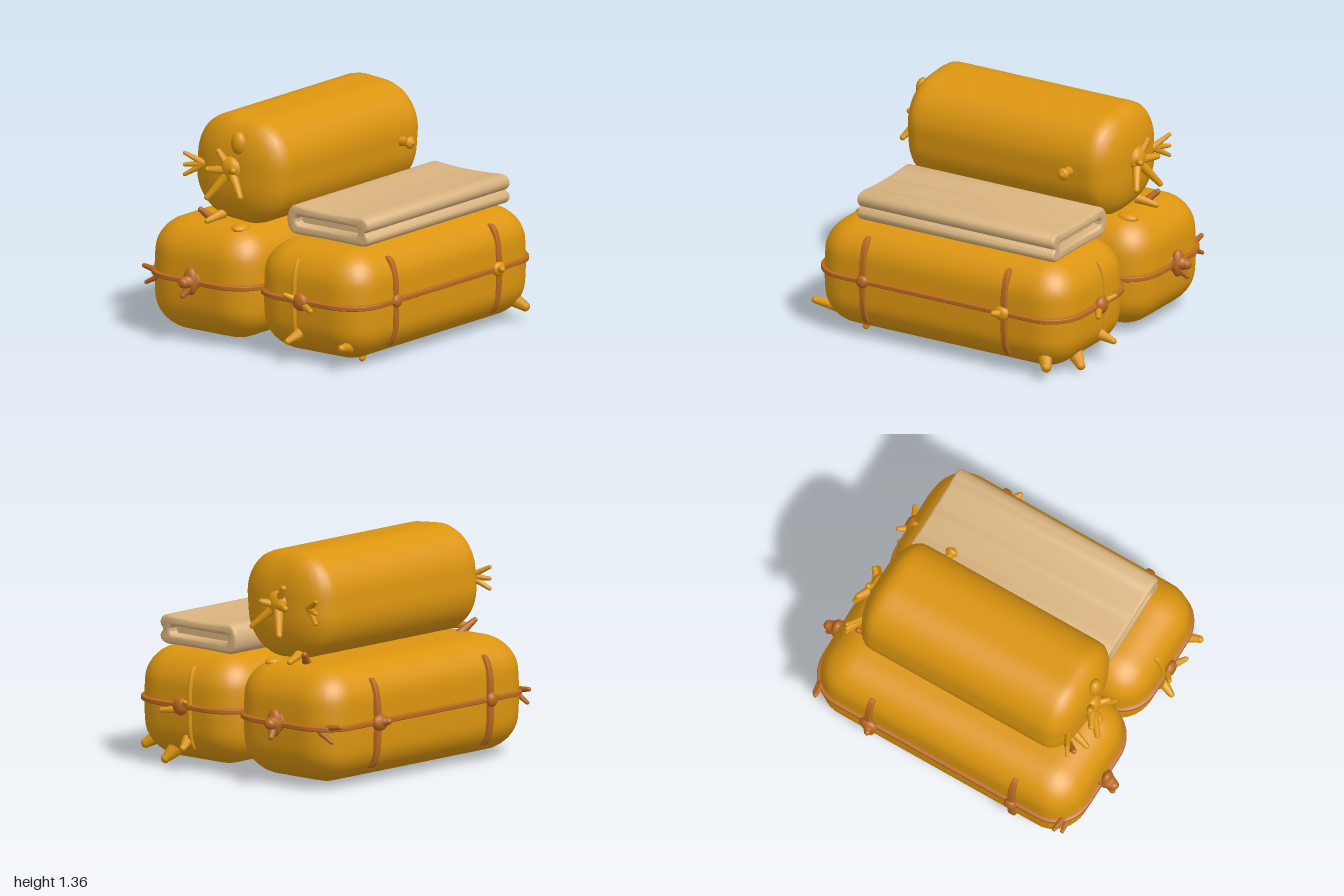
import * as THREE from 'three';
import { mergeVertices, toCreasedNormals } from 'three/addons/utils/BufferGeometryUtils.js';

export function createModel() {
  const model = new THREE.Group();
  const mat = (name, color) => {
    const m = new THREE.MeshStandardMaterial({ color });
    m.name = name;
    return m;
  };
  const gold = mat('gold cloth', 0xdc950f);
  const brown = mat('brown leather', 0xb9691f);
  const sand = mat('sand blanket', 0xd9b37f);

  const add = (name, geo, material, pos = [0, 0, 0]) => {
    const mesh = new THREE.Mesh(geo, material);
    mesh.name = name;
    mesh.position.set(...pos);
    model.add(mesh);
    return mesh;
  };

  // Soft box: half sizes, elliptical edge radii, and a slight sideways bulge
  function pillow(half, rad, bulge = 0) {
    const geo = new THREE.BoxGeometry(half[0] * 2, half[1] * 2, half[2] * 2, 40, 24, 24);
    const p = geo.attributes.position;
    for (let i = 0; i < p.count; i++) {
      const v = [p.getX(i), p.getY(i), p.getZ(i)];
      const core = v.map((c, k) => THREE.MathUtils.clamp(c, rad[k] - half[k], half[k] - rad[k]));
      const d = v.map((c, k) => (c - core[k]) / rad[k]);
      const len = Math.hypot(...d) || 1;
      const q = core.map((c, k) => c + (d[k] / len) * rad[k]);
      const s = 1 - bulge * (q[1] / half[1]) ** 2;
      p.setXYZ(i, q[0] * s, q[1], q[2] * s);
    }
    geo.deleteAttribute('normal');
    geo.deleteAttribute('uv');
    const smooth = mergeVertices(geo, 1e-4);
    smooth.computeVertexNormals();
    return smooth;
  }

  // Tapered strap end running between two points, with a soft root and tip
  function strapEnd(a, b, r, material, name = 'looseStrapEnd') {
    const from = new THREE.Vector3(...a), to = new THREE.Vector3(...b);
    const dir = to.clone().sub(from);
    const mesh = add(name, new THREE.CylinderGeometry(r * 0.55, r, dir.length(), 9), material);
    mesh.position.copy(from).addScaledVector(dir, 0.5);
    mesh.quaternion.setFromUnitVectors(new THREE.Vector3(0, 1, 0), dir.normalize());
    add(name + 'Tip', new THREE.SphereGeometry(r * 0.57, 9, 6), material, b);
  }

  function knot(pos, size, material) {
    const mesh = add('knot', new THREE.SphereGeometry(1, 14, 10), material, pos);
    mesh.scale.set(...size);
  }

  // Two large bags, each with a belt and two upright straps on its outer face
  const bags = [
    { name: 'frontBag', side: 1, z: 0.405, half: [0.87, 0.335, 0.405], y: 0.365 },
    { name: 'backBag', side: -1, z: -0.405, half: [0.895, 0.345, 0.395], y: 0.375 },
  ];
  for (const { name, side, z, half, y } of bags) {
    add(name, pillow(half, [0.2, 0.2, 0.22], 0.04), gold, [0, y, z]);
    add(name + 'Belt', pillow([half[0] + 0.022, 0.03, half[2] + 0.018], [0.22, 0.02, 0.24]), brown, [0, 0.38, z]);
    for (const x of [-0.51, 0.47]) {
      add(name + 'UprightStrap', pillow([0.028, 0.27, 0.1], [0.015, 0.2, 0.07]), brown,
        [x, 0.37, side * 0.725]);
    }
  }

  // Upright straps on the ends of the front bag
  for (const s of [-1, 1]) {
    add('endStrap', pillow([0.08, 0.25, 0.022], [0.06, 0.18, 0.015]), gold, [s * 0.805, 0.37, 0.33]);
  }

  // Bedroll on top of the back bag
  const roll = add('bedroll', pillow([0.735, 0.32, 0.335], [0.14, 0.27, 0.27]), gold, [0, 1.04, -0.25]);
  roll.rotation.x = 0.08;
  strapEnd([0.47, 1.04, 0.03], [0.47, 1.04, 0.16], 0.038, gold, 'rollToggle');
  knot([0.47, 1.04, 0.15], [0.038, 0.038, 0.025], gold);

  // Folded blanket: a flattened loop with a pinched front edge
  const fold = new THREE.Shape();
  fold.moveTo(0.24, 0.092);
  fold.bezierCurveTo(0.33, 0.085, 0.33, -0.085, 0.24, -0.088);
  fold.quadraticCurveTo(0, -0.08, -0.24, -0.088);
  fold.bezierCurveTo(-0.325, -0.09, -0.325, -0.012, -0.272, -0.003);
  fold.bezierCurveTo(-0.325, 0.01, -0.325, 0.09, -0.24, 0.09);
  fold.quadraticCurveTo(0, 0.068, 0.24, 0.092);
  const slot = new THREE.Path();
  slot.moveTo(-0.21, 0.024);
  slot.quadraticCurveTo(-0.24, 0, -0.21, -0.024);
  slot.lineTo(0.22, -0.024);
  slot.quadraticCurveTo(0.25, 0, 0.22, 0.024);
  slot.closePath();
  fold.holes.push(slot);
  const foldGeo = new THREE.ExtrudeGeometry(fold, {
    depth: 1.32, steps: 1, curveSegments: 12,
    bevelEnabled: true, bevelSize: 0.02, bevelThickness: 0.022, bevelOffset: -0.02, bevelSegments: 4,
  });
  foldGeo.translate(0, 0, -0.66).rotateY(Math.PI / 2);
  add('foldedBlanket', toCreasedNormals(foldGeo, 0.8), sand, [0.055, 0.788, 0.388]);
  add('blanketInnerLayer', new THREE.BoxGeometry(1.24, 0.07, 0.46), sand, [0.055, 0.788, 0.383]);

  // Buckle knots and loose ends on both ends of the bags
  for (const s of [-1, 1]) {
    knot([s * 0.925, 0.39, -0.4], [0.035, 0.085, 0.05], brown);
    strapEnd([s * 0.9, 0.39, -0.4], [s * 0.975, 0.39, -0.41], 0.06, brown);
    strapEnd([s * 0.93, 0.36, -0.4], [s * 0.975, 0.31, -0.42], 0.03, brown);
    knot([s * 0.885, 0.38, 0.39], [0.035, 0.055, 0.055], brown);
    strapEnd([s * 0.87, 0.38, 0.37], [s * 0.93, 0.42, 0.31], 0.025, gold);
    strapEnd([s * 0.87, 0.36, 0.4], [s * 0.93, 0.35, 0.5], 0.028, gold);
    strapEnd([s * 0.85, 0.18, 0.36], [s * 0.93, 0.14, 0.33], 0.035, gold);
    // Back corner ties
    strapEnd([s * 0.83, 0.38, -0.68], [s * 0.82, 0.4, -0.83], 0.025, brown);
    strapEnd([s * 0.85, 0.38, -0.66], [s * 0.85, 0.31, -0.79], 0.022, brown);
    // Ties between bedroll and back bag
    strapEnd([s * 0.66, 0.7, -0.42], [s * 0.74, 0.78, -0.47], 0.03, brown);
    strapEnd([s * 0.66, 0.76, -0.36], [s * 0.78, 0.73, -0.39], 0.03, gold);
    knot([s * 0.7, 0.7, -0.2], [0.07, 0.03, 0.05], gold);
  }
  strapEnd([-0.75, 0.12, 0.66], [-0.9, 0.15, 0.71], 0.04, gold);
  strapEnd([-0.58, 0.07, 0.62], [-0.6, 0.02, 0.63], 0.035, gold);
  strapEnd([0.68, 0.16, 0.7], [0.75, 0.09, 0.79], 0.055, gold);
  strapEnd([0.78, 0.1, 0.52], [0.84, 0.04, 0.55], 0.05, gold);

  // Knots where the belt crosses the upright straps
  knot([-0.51, 0.38, 0.82], [0.04, 0.04, 0.025], brown);
  knot([0.46, 0.38, 0.82], [0.05, 0.045, 0.03], gold);
  strapEnd([0.46, 0.38, 0.81], [0.43, 0.39, 0.87], 0.03, gold);
  knot([-0.51, 0.38, -0.82], [0.04, 0.045, 0.028], brown);
  knot([0.46, 0.38, -0.82], [0.06, 0.05, 0.035], brown);
  strapEnd([0.46, 0.38, -0.82], [0.44, 0.39, -0.87], 0.035, brown);

  // Star-shaped ties on the ends of the bedroll
  for (const s of [-1, 1]) {
    knot([s * 0.735, 1.06, -0.25], [0.045, 0.075, 0.075], gold);
    const tips = [[0.83, 0.89, -0.35], [0.81, 0.92, -0.12], [0.8, 1.07, -0.18], [0.76, 1.16, -0.32], [0.8, 1.05, -0.37]];
    for (const [x, y, z] of tips) strapEnd([s * 0.73, 1.05, -0.25], [s * x, y, z], 0.033, gold);
    for (const y of [0.98, 1.04, 1.11]) strapEnd([s * 0.7, 1.05, -0.47], [s * 0.755, y, -0.575], 0.022, gold);
  }
  knot([-0.72, 1.22, -0.2], [0.04, 0.07, 0.05], gold);

  return model;
}
